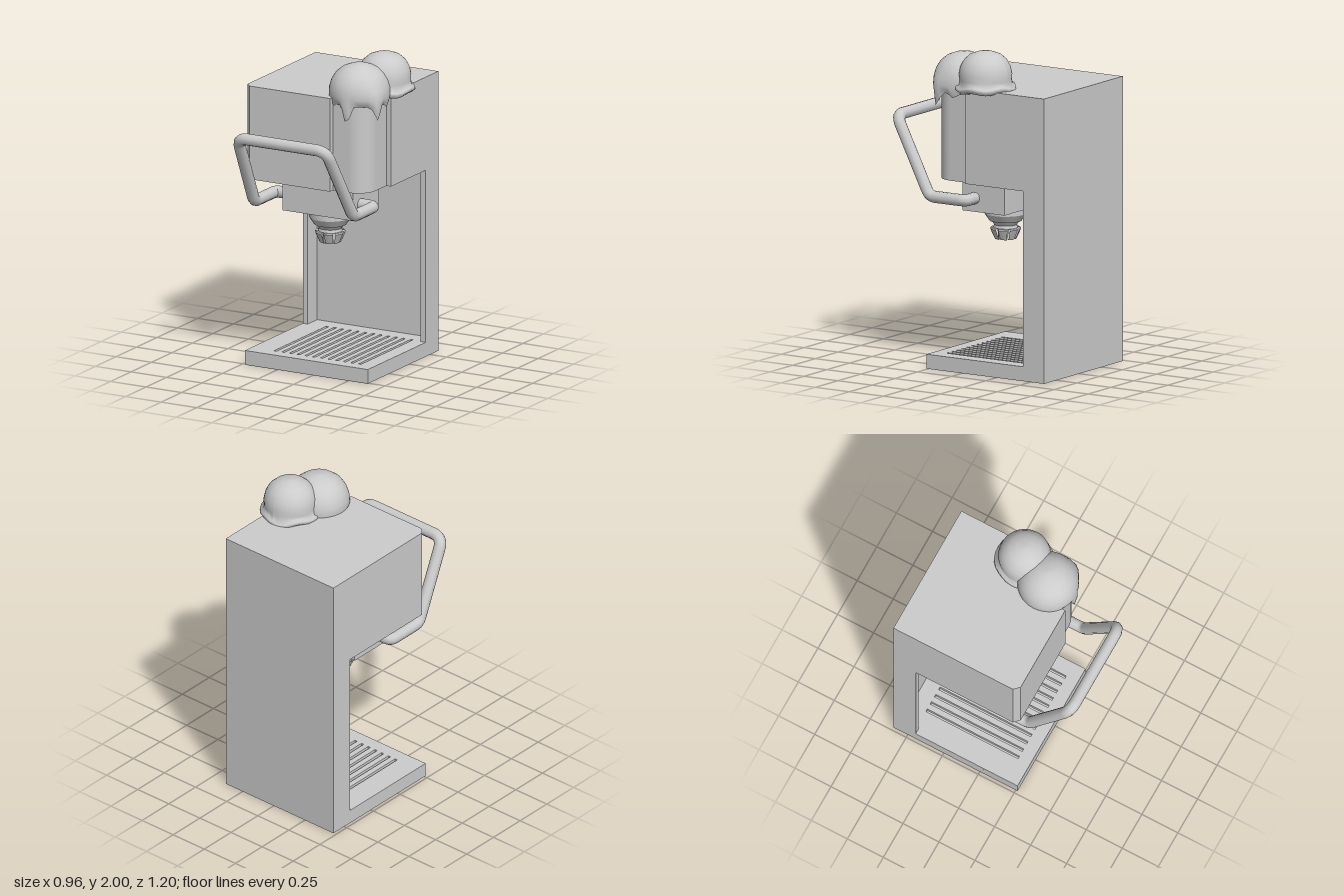
import * as THREE from 'three';
import { toCreasedNormals } from 'three/addons/utils/BufferGeometryUtils.js';

const CX = -0.047; // centre line of the machine
const V = (x, y, z) => new THREE.Vector3(x, y, z);

export function createModel() {
  const group = new THREE.Group();
  const mat = new THREE.MeshStandardMaterial({ color: 0xcccccc });
  const matDouble = new THREE.MeshStandardMaterial({ color: 0xcccccc, side: THREE.DoubleSide });

  const add = (name, geo, material = mat) => {
    const mesh = new THREE.Mesh(geo, material);
    mesh.name = name;
    group.add(mesh);
    return mesh;
  };
  const box = (name, x0, x1, y0, y1, z0, z1) =>
    add(name, new THREE.BoxGeometry(x1 - x0, y1 - y0, z1 - z0)
      .translate((x0 + x1) / 2, (y0 + y1) / 2, (z0 + z1) / 2));
  // Plan outline given as [x, z] pairs, raised from y0 to y1
  const outline = (pts) => new THREE.Shape(pts.map(([x, z]) => new THREE.Vector2(x, -z)));
  const raise = (shape, y0, y1) =>
    new THREE.ExtrudeGeometry(shape, { depth: y1 - y0, bevelEnabled: false, curveSegments: 10 })
      .rotateX(-Math.PI / 2).translate(0, y0, 0);

  // Drip tray: solid bottom with a slotted plate on top
  box('trayBottom', -0.48, 0.385, 0, 0.065, -0.6, 0.262);
  const tray = outline([[-0.48, 0.262], [0.385, 0.262], [0.385, -0.6], [-0.48, -0.6]]);
  for (let i = 0; i < 12; i++) {
    const x = CX + 0.03 + (i - 5.5) * 0.054, w = 0.009;
    tray.holes.push(outline([[x - w, 0.18], [x - w, -0.46], [x + w, -0.46], [x + w, 0.18]]));
  }
  add('trayGrate', raise(tray, 0.065, 0.09));

  // Rear column with a recessed front panel
  add('rearColumn', raise(outline([
    [-0.48, -0.6], [-0.48, -0.445], [-0.445, -0.445], [-0.445, -0.56],
    [0.35, -0.56], [0.35, -0.445], [0.385, -0.445], [0.385, -0.6],
  ]), 0.09, 1.18));

  // Head: one chamfered front corner, one corner cut out for the canister
  add('head', raise(outline([
    [-0.48, -0.6], [-0.48, 0.23], [-0.445, 0.265], [0.122, 0.265],
    [0.122, -0.022], [0.385, -0.022], [0.385, -0.6],
  ]), 1.18, 1.77));

  // Rounded canister in the front corner
  const r = 0.12, can = new THREE.Shape();
  can.moveTo(0.1, 0.04);
  can.lineTo(0.1, -0.23);
  can.lineTo(0.352 - r, -0.23);
  can.absarc(0.352 - r, -0.23 + r, r, -Math.PI / 2, 0, false);
  can.lineTo(0.352, 0.04);
  add('canister', toCreasedNormals(raise(can, 1.18, 1.77), 0.6));

  // Dispensing block and nozzle
  box('dispenserBlock', -0.295, 0.2, 0.97, 1.18, -0.187, 0.122);
  const lathe = (pts, segs, start = 0) =>
    new THREE.LatheGeometry(pts.map(([x, y]) => new THREE.Vector2(x, y)), segs, start);
  add('nozzleCollar', toCreasedNormals(lathe([
    [0, 0.84], [0.075, 0.84], [0.07, 0.86], [0.088, 0.885],
    [0.1, 0.885], [0.13, 0.93], [0.13, 0.97], [0, 0.97],
  ], 20), 0.5), mat).position.set(CX, 0, -0.03);

  // Hollow tip split into teeth by narrow slots
  const teeth = 8;
  for (let i = 0; i < teeth; i++) {
    const tooth = new THREE.Group();
    const arc = (Math.PI * 2) / teeth;
    const geo = new THREE.LatheGeometry(
      [[0.045, 0.772], [0.066, 0.772], [0.095, 0.835], [0.09, 0.842], [0.05, 0.842], [0.045, 0.772]]
        .map(([x, y]) => new THREE.Vector2(x, y)), 3, i * arc + 0.08, arc - 0.16);
    tooth.name = 'nozzleTooth';
    tooth.position.set(CX, 0, -0.03);
    tooth.add(new THREE.Mesh(toCreasedNormals(geo, 0.5), matDouble));
    group.add(tooth);
  }

  // Bent rod handle, mirrored about the centre line
  const half = [V(-0.2, 1.055, 0.032), V(-0.348, 1.055, 0.032), V(-0.348, 1.055, 0.295), V(-0.31, 1.525, 0.562)];
  const path = [...half, ...half.map((p) => V(-p.x, p.y, p.z)).reverse()];
  const cuts = [0, 0.035, 0.04, 0.07, 0.07, 0.04, 0.035, 0];
  const curve = new THREE.CurvePath();
  let from = path[0];
  for (let i = 1; i < path.length; i++) {
    const p = path[i];
    const back = p.clone().add(path[i - 1].clone().sub(p).setLength(cuts[i] || 1e-6));
    curve.add(new THREE.LineCurve3(from, back));
    if (i < path.length - 1) {
      const on = p.clone().add(path[i + 1].clone().sub(p).setLength(cuts[i]));
      curve.add(new THREE.QuadraticBezierCurve3(back, p, on));
      from = on;
    }
  }
  add('handle', new THREE.TubeGeometry(curve, 160, 0.037, 10)).position.x = CX;

  // Moves the vertices of a dome by a rule of angle
  const shapeDome = (geo, rule) => {
    const pos = geo.attributes.position, p = V();
    for (let i = 0; i < pos.count; i++) {
      p.fromBufferAttribute(pos, i);
      rule(p, Math.atan2(p.x, p.z));
      pos.setXYZ(i, p.x, p.y, p.z);
    }
    geo.computeVertexNormals();
    return geo;
  };

  // Front scoop, dripping over the canister
  const drips = [[0.06, 0.12, 0.26], [1.12, 0.09, 0.22], [-0.75, 0.035, 0.3], [1.75, 0.03, 0.25]];
  const frontScoop = lathe([
    [0.168, -0.045], [0.181, -0.025], [0.189, 0], [0.186, 0.045], [0.172, 0.09],
    [0.145, 0.132], [0.105, 0.164], [0.055, 0.183], [0.0001, 0.189],
  ], 40, Math.PI);
  add('frontScoop', shapeDome(frontScoop, (p, a) => {
    const low = THREE.MathUtils.clamp(-p.y / 0.045, 0, 1);
    let drop = 0;
    for (const [at, len, width] of drips) drop += len * Math.max(0, 1 - Math.abs(a - at) / width);
    p.y -= drop * low;
    // Drips hang straight down, and the corner drip bulges outward
    const hang = 1 + 0.1 * low * Math.min(1, drop / 0.06)
      + 0.1 * Math.exp(-(((a - 1.1) / 0.3) ** 2)) * THREE.MathUtils.clamp(1 - p.y / 0.09, 0, 1);
    p.x *= hang;
    p.z *= hang;
  }), matDouble).position.set(0.228, 1.778, 0.088);

  // Rear scoop with a wavy brim
  const rearScoop = lathe([
    [0.0001, -0.05], [0.12, -0.055], [0.165, -0.052], [0.185, -0.036], [0.182, -0.018], [0.164, -0.008],
    [0.161, 0.02], [0.163, 0.055], [0.154, 0.098], [0.132, 0.14], [0.096, 0.172],
    [0.05, 0.189], [0.0001, 0.194],
  ], 32, Math.PI);
  add('rearScoop', shapeDome(rearScoop, (p, a) => {
    if (p.y > 0 || Math.hypot(p.x, p.z) < 0.01) return;
    p.y += 0.008 * Math.sin(a * 5) + 0.005 * Math.sin(a * 3 + 1);
    const k = 1 + 0.02 * Math.sin(a * 4);
    p.x *= k;
    p.z *= k;
  }), matDouble).position.set(0.29, 1.806, -0.108);

  return group;
}
